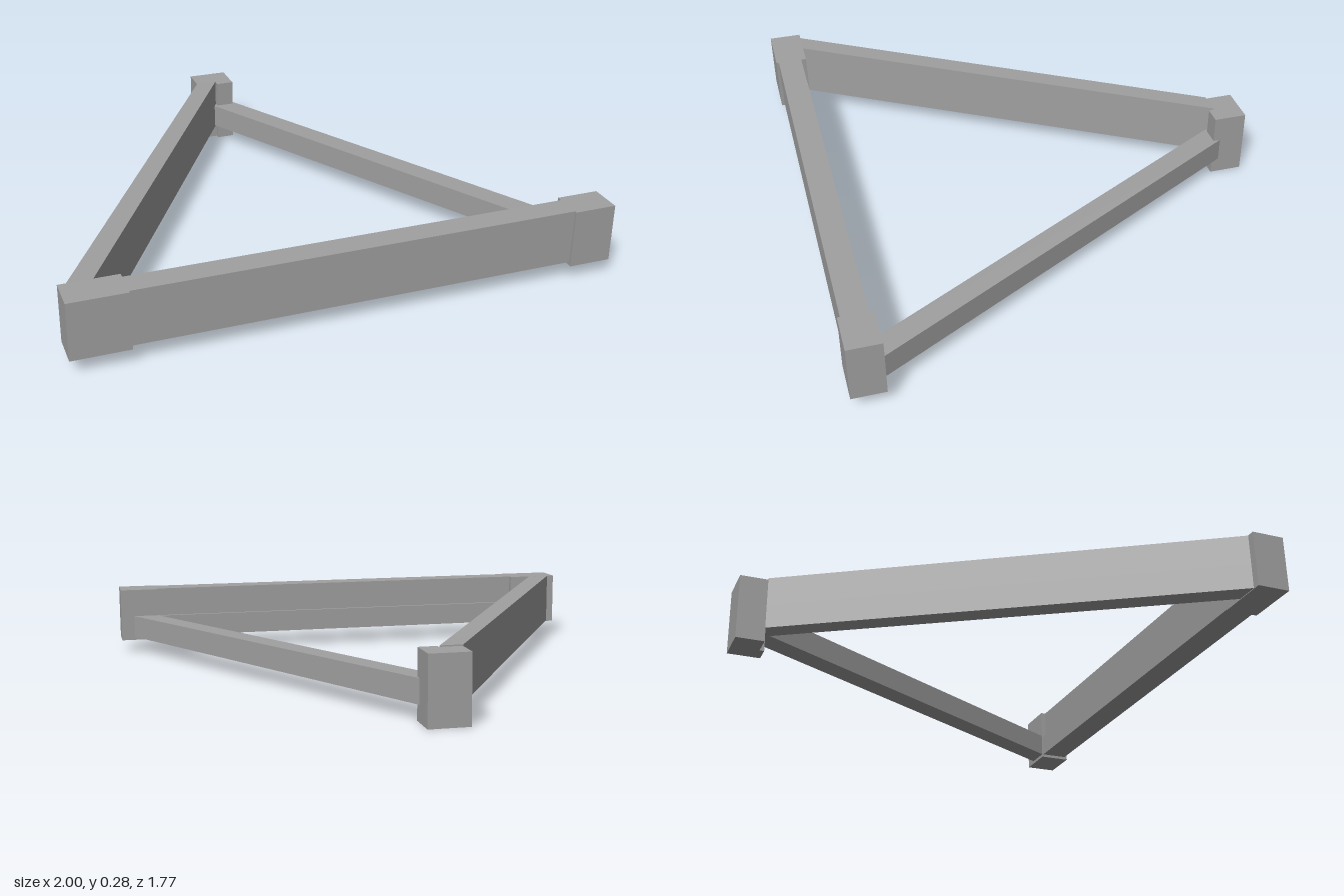
import * as THREE from 'three';

const grey = new THREE.MeshStandardMaterial({ color: 0xa0a0a0 });
grey.name = 'plain grey';

// Beam or block with a back end and a front end: { x: [min, max], y: [min, max], z }
function bar(name, back, front) {
  const geometry = new THREE.BoxGeometry(1, 1, 1);
  const p = geometry.attributes.position;
  for (let i = 0; i < p.count; i++) {
    const end = p.getZ(i) < 0 ? back : front;
    p.setXYZ(i, end.x[p.getX(i) < 0 ? 0 : 1], end.y[p.getY(i) < 0 ? 0 : 1], end.z);
  }
  geometry.computeVertexNormals();
  const mesh = new THREE.Mesh(geometry, grey);
  mesh.name = name;
  return mesh;
}

const block = (name, x, y, z) => bar(name, { x, y, z: z[0] }, { x, y, z: z[1] });

export function createModel() {
  const model = new THREE.Group();
  model.name = 'triangularFrame';

  // Corner blocks
  model.add(
    block('frontRightCorner', [-1, -0.79], [0.06, 0.275], [0.76, 0.885]),
    block('frontLeftCorner', [0.84, 1], [0.055, 0.275], [0.76, 0.885]),
    block('backCorner', [-0.065, 0.09], [0, 0.258], [-0.885, -0.775]),
    block('backCornerStep', [0.02, 0.09], [0, 0.258], [-0.775, -0.757])
  );

  // Front rail: two stacked beams, the lower one slightly deeper
  model.add(
    block('frontLowerBeam', [-0.79, 0.84], [0.067, 0.157], [0.765, 0.873]),
    block('frontUpperBeam', [-0.79, 0.84], [0.157, 0.275], [0.78, 0.875])
  );

  // Right side rail: two stacked beams, dropping slightly to the back
  const backX = [-0.067, 0.018], frontX = [-0.985, -0.895];
  model.add(
    bar('rightLowerBeam',
      { x: backX, y: [0.055, 0.15], z: -0.777 }, { x: frontX, y: [0.063, 0.16], z: 0.785 }),
    bar('rightUpperBeam',
      { x: backX, y: [0.15, 0.263], z: -0.777 }, { x: frontX, y: [0.16, 0.275], z: 0.785 })
  );

  // Left side rail: a single low beam
  model.add(bar('leftLowerBeam',
    { x: [-0.011, 0.09], y: [0.062, 0.155], z: -0.785 },
    { x: [0.855, 0.957], y: [0.068, 0.16], z: 0.782 }));

  return model;
}
